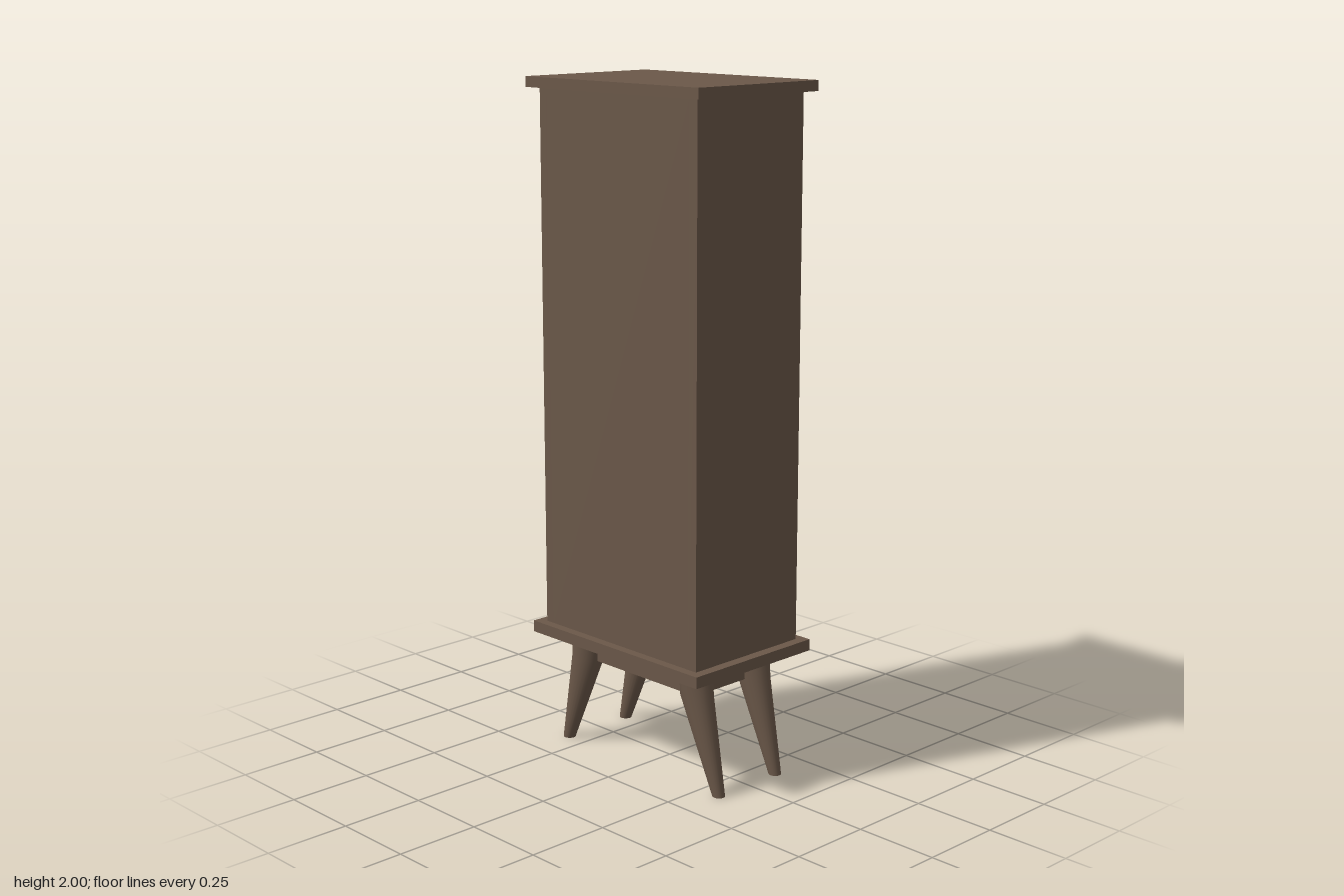
import * as THREE from 'three';

export function createModel() {
  const model = new THREE.Group();
  model.name = 'bookcase';
  const wood = new THREE.MeshStandardMaterial({ color: 0x6b5849 });
  wood.name = 'walnut brown';

  // Box given by its min and max corner on each axis
  const board = (name, x0, x1, y0, y1, z0, z1) => {
    const mesh = new THREE.Mesh(new THREE.BoxGeometry(x1 - x0, y1 - y0, z1 - z0), wood);
    mesh.position.set((x0 + x1) / 2, (y0 + y1) / 2, (z0 + z1) / 2);
    mesh.name = name;
    model.add(mesh);
  };

  // Overhanging top and base slabs
  board('topSlab', -0.232, 0.232, 1.97, 2, -0.345, 0.345);
  board('baseSlab', -0.232, 0.232, 0.358, 0.392, -0.345, 0.345);

  // Carcass, open towards +x
  board('backPanel', -0.205, -0.185, 0.392, 1.97, -0.285, 0.285);
  for (const s of [-1, 1]) {
    const z = s * 0.3;
    board('sidePanel', -0.205, 0.205, 0.392, 1.97, z - 0.015, z + 0.015);
  }

  // Shelves and staggered dividers, slightly set back
  const front = 0.195;
  for (const [y0, y1] of [[0.615, 0.645], [1.147, 1.177], [1.567, 1.597]]) {
    board('shelf', -0.185, front, y0, y1, -0.285, 0.285);
  }
  for (const [y0, y1, z] of [[0.645, 1.147, 0.127], [1.177, 1.567, -0.127], [1.597, 1.97, 0.127]]) {
    board('divider', -0.185, front, y0, y1, z - 0.015, z + 0.015);
  }

  // Drawer and its small pull
  board('drawer', -0.18, front, 0.395, 0.61, -0.283, 0.283);
  board('drawerHandle', front, 0.204, 0.497, 0.525, -0.022, 0.062);

  // Rail frame under the base
  for (const s of [-1, 1]) {
    board('longRail', s * 0.115 - 0.0125, s * 0.115 + 0.0125, 0.28, 0.358, -0.21, 0.21);
    board('shortRail', -0.1025, 0.1025, 0.28, 0.358, s * 0.222 - 0.0125, s * 0.222 + 0.0125);
  }

  // Tapered legs splayed along z: [y, centre z, radius x, radius z] from top to foot
  const rings = [[0.36, 0.226, 0.046, 0.05], [0.28, 0.232, 0.041, 0.055], [0, 0.32, 0.018, 0.019]];
  for (const sx of [-1, 1]) for (const sz of [-1, 1]) {
    const geo = new THREE.CylinderGeometry(1, 1, 2, 24, 2);
    const p = geo.attributes.position;
    for (let i = 0; i < p.count; i++) {
      const [y, cz, rx, rz] = rings[Math.round(1 - p.getY(i))];
      p.setXYZ(i, sx * 0.117 + p.getX(i) * rx, y, sz * cz + p.getZ(i) * rz);
    }
    geo.computeVertexNormals();
    const leg = new THREE.Mesh(geo, wood);
    leg.name = 'leg';
    model.add(leg);
  }
  return model;
}
